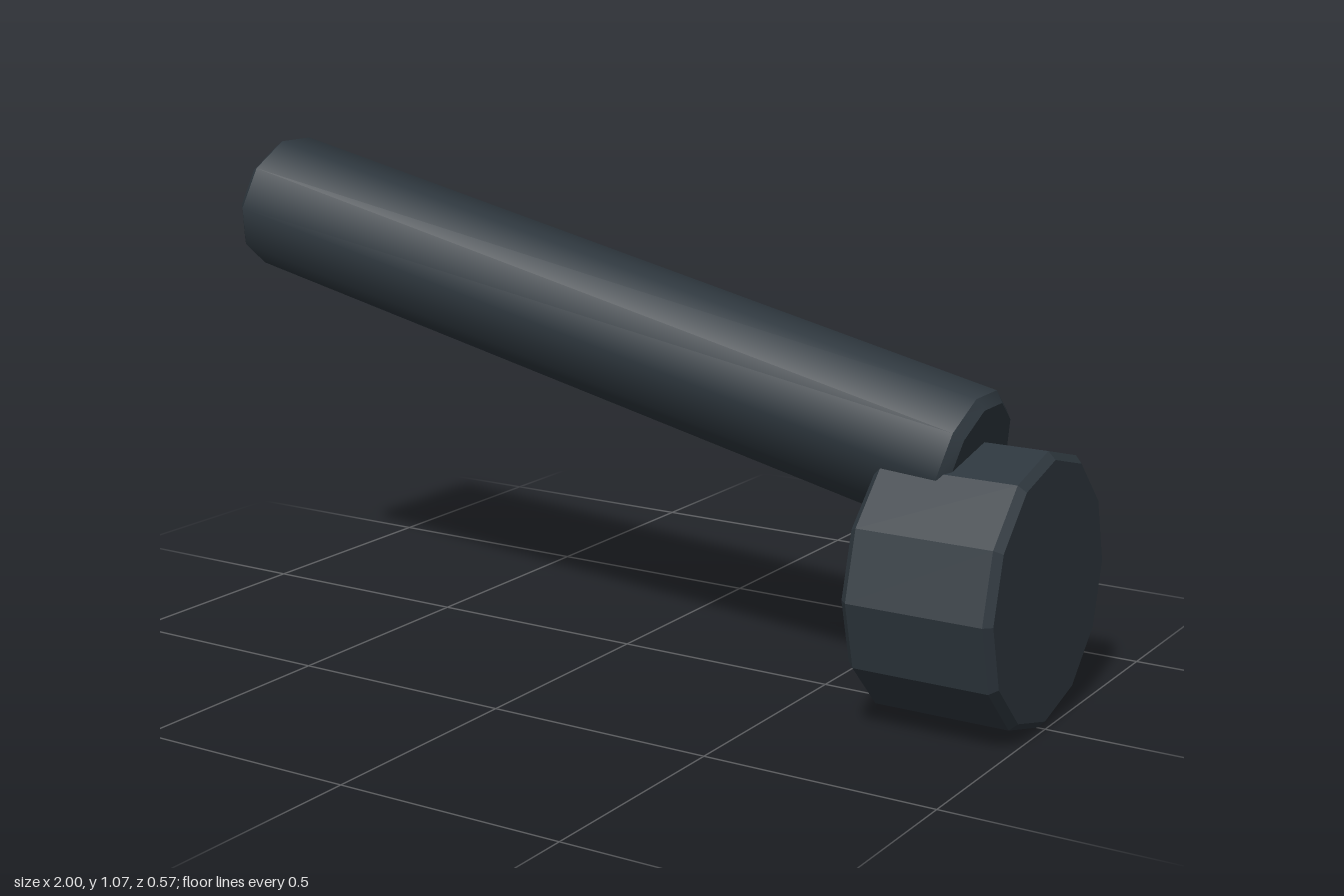
import * as THREE from 'three';
import { toCreasedNormals } from 'three/addons/utils/BufferGeometryUtils.js';

// Chamfered prism along x, centred on the origin
function roundBar(radius, length, sides, bevel, crease) {
  const h = length / 2;
  const profile = [
    [0, -h], [radius - bevel, -h], [radius, -h + bevel],
    [radius, h - bevel], [radius - bevel, h], [0, h],
  ].map(([r, y]) => new THREE.Vector2(r, y));
  const bar = new THREE.LatheGeometry(profile, sides);
  bar.rotateZ(-Math.PI / 2);
  return toCreasedNormals(bar, crease);
}

export function createModel() {
  const model = new THREE.Group();
  const darkSlate = new THREE.MeshStandardMaterial({ color: 0x2e373e });
  darkSlate.name = 'darkSlate';

  // Long sloping handle, smooth around its ten sides
  const start = new THREE.Vector2(-0.971, 0.93);
  const end = new THREE.Vector2(0.835, 0.523);
  const handle = new THREE.Mesh(
    roundBar(0.156, start.distanceTo(end), 10, 0.02, 0.66), darkSlate);
  handle.name = 'handle';
  handle.position.set((start.x + end.x) / 2, (start.y + end.y) / 2, 0);
  handle.rotation.z = Math.atan2(end.y - start.y, end.x - start.x);
  model.add(handle);

  // Faceted twelve-sided end drum
  const drum = new THREE.Mesh(roundBar(0.287, 0.324, 12, 0.016, 0.2), darkSlate);
  drum.name = 'endDrum';
  drum.position.set(0.837, 0.288, 0);
  model.add(drum);

  return model;
}
